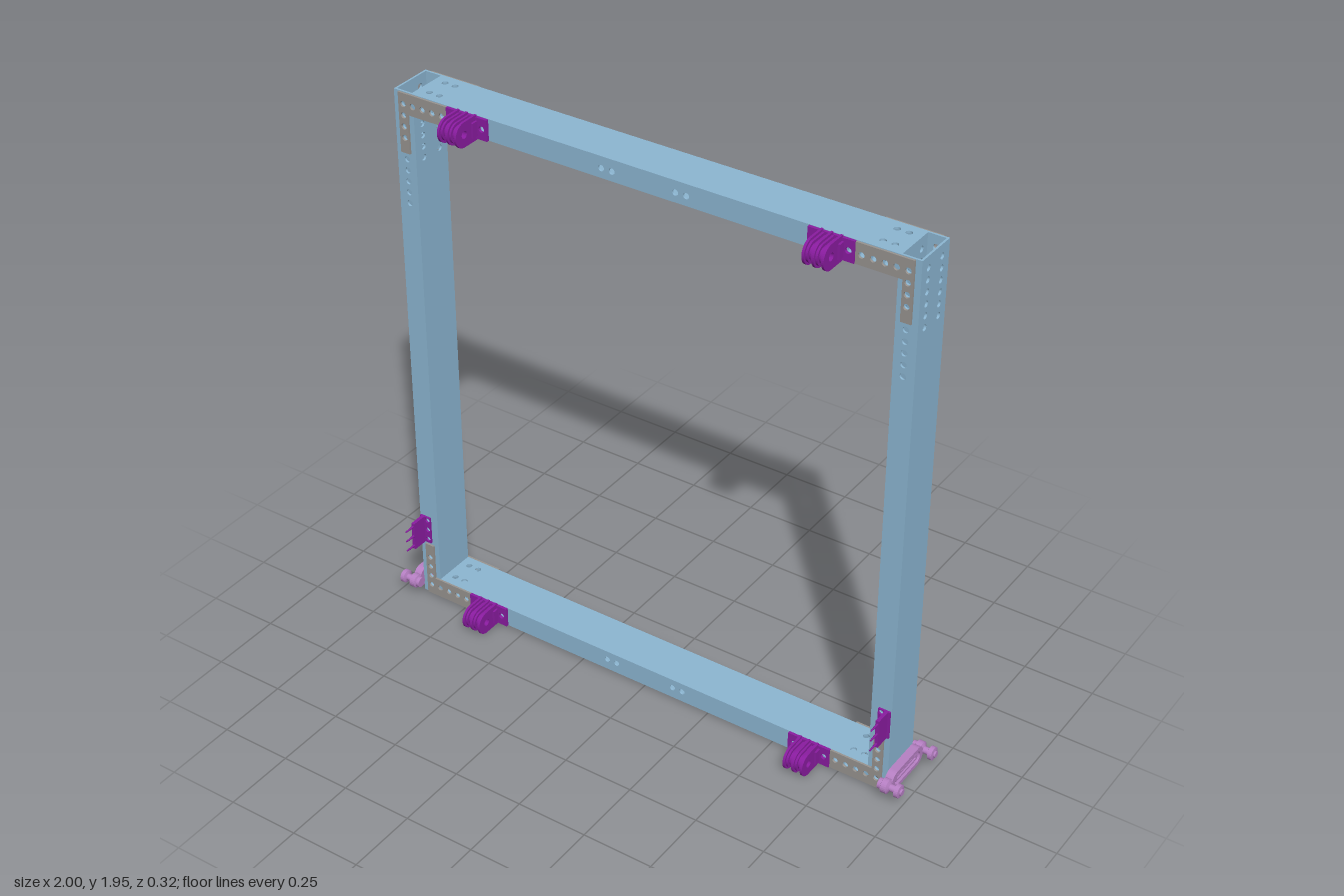
import * as THREE from 'three';

const mat = (color) => new THREE.MeshStandardMaterial({ color });
const blue = mat(0x8cb6d2), grey = mat(0x989490), purple = mat(0x8a1ca0), lilac = mat(0xb780c4);
const WALL = 0.007, FRONT = 0.053, BACK = -0.103, MID = -0.025;
const TOP = 1.95, BOTTOM = 0.01, OUT = 0.928, SIZE = 0.073, IN = OUT - SIZE;
const range = (start, step, n) => Array.from({ length: n }, (_, i) => start + step * i);

function add(parent, name, geometry, material, x = 0, y = 0, z = 0) {
  const m = new THREE.Mesh(geometry, material);
  m.name = name;
  m.position.set(x, y, z);
  parent.add(m);
  return m;
}

function group(parent, name) {
  const g = new THREE.Group();
  g.name = name;
  parent.add(g);
  return g;
}

function punch(shape, holes, r) {
  for (const [x, y] of holes) shape.holes.push(new THREE.Path().absarc(x, y, r, 0, Math.PI * 2, true));
  return shape;
}

function extrude(shape, depth) {
  return new THREE.ExtrudeGeometry(shape, { depth, bevelEnabled: false, curveSegments: 10 });
}

function outline(points) {
  return new THREE.Shape(points.map(([x, y]) => new THREE.Vector2(x, y)));
}

// Sheet wall normal to an axis: z uses (x, y), x uses (-z, y), y uses (x, -z)
function wall(parent, name, axis, at, [u0, u1], [v0, v1], holes) {
  const shape = punch(outline([[u0, v0], [u1, v0], [u1, v1], [u0, v1]]), holes, 0.0105);
  const m = add(parent, name, extrude(shape, WALL), blue);
  if (axis === 'x') m.rotation.y = Math.PI / 2;
  if (axis === 'y') m.rotation.x = -Math.PI / 2;
  m.position[axis] = at;
}

// Upright hollow tube on the +x side
function upright(parent) {
  const g = group(parent, 'uprightTube');
  const face = [...range(1.91, -0.039, 10), ...range(0.05, 0.039, 8)].map((y) => [0.89, y]);
  for (const z of [FRONT - WALL, BACK]) wall(g, 'uprightFace', 'z', z, [IN, OUT], [BOTTOM, TOP], face);
  const side = [...range(1.91, -0.039, 6), 0.05].flatMap((y) => [[-MID - 0.039, y], [-MID + 0.039, y]]);
  for (const x of [IN, OUT - WALL])
    wall(g, 'uprightSide', 'x', x, [-FRONT + WALL, -BACK - WALL], [BOTTOM, TOP], side);
}

// Horizontal hollow tube between the uprights
function rail(parent, name, y0) {
  const g = group(parent, name);
  const mirror = (xs) => xs.flatMap((x) => [x, -x]);
  const face = mirror([...range(0.82, -0.039, 7), 0.15, 0.112]).map((x) => [x, y0 < 1 ? 0.05 : 1.91]);
  for (const z of [FRONT - WALL, BACK]) wall(g, 'railFace', 'z', z, [-IN, IN], [y0, y0 + SIZE], face);
  const flat = mirror([0.82, 0.781]).flatMap((x) => [[x, -MID - 0.039], [x, -MID + 0.039]]);
  for (const y of [y0, y0 + SIZE - WALL])
    wall(g, 'railFlat', 'y', y, [-IN, IN], [-FRONT + WALL, -BACK - WALL], flat);
}

// L-shaped plates on the front and back of an upper corner
function cornerPlates(parent) {
  const shape = outline([[0.908, 1.948], [0.72, 1.948], [0.72, 1.877], [0.873, 1.877], [0.873, 1.74], [0.908, 1.74]]);
  punch(shape, [...range(0.89, -0.0375, 5).map((x) => [x, 1.91]), ...range(1.871, -0.039, 3).map((y) => [0.89, y])], 0.0105);
  const geo = extrude(shape, WALL);
  add(parent, 'frontCornerPlate', geo, grey, 0, 0, FRONT);
  add(parent, 'backCornerPlate', geo, grey, 0, 0, BACK - WALL);
}

// Finned guide: three round lugs with grooves between, on a drilled base
function guide(parent, y) {
  const g = group(parent, 'cableGuide');
  g.position.set(0.642, y, FRONT);
  const base = outline([[-0.077, -0.036], [0.077, -0.036], [0.077, 0.036], [-0.077, 0.036]]);
  add(g, 'guideBase', extrude(punch(base, [[-0.057, 0], [0.057, 0]], 0.0105), 0.01), purple);
  const lug = (r) => {
    const s = new THREE.Shape();
    s.moveTo(0, -r).lineTo(0.062, -r).absarc(0.062, 0, r, -Math.PI / 2, Math.PI / 2, false).lineTo(0, r);
    return punch(s, [[0.062, 0]], 0.013);
  };
  // local x of the lug points along +z
  const place = (name, r, x, w) => {
    const m = add(g, name, extrude(lug(r), w), purple, x + w / 2, 0, 0.004);
    m.rotation.y = -Math.PI / 2;
  };
  for (const x of [-0.032, 0, 0.032]) place('guideFin', 0.042, x, 0.008);
  for (const s of [-1, 1]) {
    place('guideGroove', 0.025, s * 0.016, 0.026);
    place('guideStep', 0.034, s * 0.0245, 0.007);
    place('guideStep', 0.034, s * 0.0075, 0.007);
    add(g, 'guideShoulder', new THREE.BoxGeometry(0.012, 0.05, 0.025), purple, s * 0.037, 0, 0.02);
  }
}

// Angle bracket with three forward pins
function pinBracket(parent) {
  const g = group(parent, 'pinBracket');
  const base = outline([[0.882, 0.23], [0.925, 0.23], [0.925, 0.335], [0.882, 0.335]]);
  add(g, 'pinBase', extrude(punch(base, range(0.245, 0.039, 3).map((y) => [0.893, y]), 0.009), 0.007), purple, 0, 0, FRONT);
  add(g, 'pinWeb', new THREE.BoxGeometry(0.012, 0.105, 0.062), purple, 0.912, 0.2825, FRONT + 0.031);
  for (const y of [0.243, 0.2825, 0.322]) {
    const pin = add(g, 'pin', new THREE.CylinderGeometry(0.0025, 0.005, 0.05, 10), purple, 0.912, y, 0.128);
    pin.rotation.x = Math.PI / 2;
  }
}

// Slotted side bar carrying a spool at each end
function spoolBracket(parent) {
  const g = group(parent, 'spoolBracket');
  g.position.set(OUT, 0.062, MID);
  const capsule = (half, r, hole) => {
    const s = hole ? new THREE.Path() : new THREE.Shape();
    s.absarc(half, 0, r, -Math.PI / 2, Math.PI / 2, false);
    s.absarc(-half, 0, r, Math.PI / 2, Math.PI * 1.5, false);
    s.closePath();
    return s;
  };
  const bar = (name, half, r, slotHalf, slotR, x, t) => {
    const s = capsule(half, r, false);
    if (slotR) s.holes.push(capsule(slotHalf, slotR, true));
    add(g, name, extrude(s, t), lilac, x).rotation.y = Math.PI / 2;
  };
  bar('barPlate', 0.1, 0.02, 0, 0, 0.003, 0.012);
  bar('barRim', 0.065, 0.035, 0.06, 0.021, 0, 0.028);
  bar('barRib', 0.06, 0.012, 0.055, 0.005, 0.01, 0.014);
  const profile = [[0, -0.012], [0.018, -0.012], [0.018, 0], [0.025, 0.003], [0.025, 0.022], [0.012, 0.028],
    [0.012, 0.046], [0.023, 0.05], [0.023, 0.064], [0.011, 0.066], [0.011, 0.072], [0, 0.072]];
  for (const z of [-0.108, 0.108]) {
    const geo = new THREE.LatheGeometry(profile.map(([r, y]) => new THREE.Vector2(r, y)), 24).toNonIndexed();
    geo.computeVertexNormals();
    add(g, 'spool', geo, lilac, 0, 0, z).rotation.z = -Math.PI / 2;
  }
}

export function createModel() {
  const model = new THREE.Group();
  model.name = 'frame';
  rail(model, 'topRail', TOP - SIZE);
  rail(model, 'bottomRail', BOTTOM);
  for (const side of [1, -1]) {
    const half = group(model, side > 0 ? 'leftHalf' : 'rightHalf');
    half.scale.x = side;
    upright(half);
    cornerPlates(group(half, 'topCorner'));
    const lower = group(half, 'bottomCorner');
    lower.scale.y = -1;
    lower.position.y = TOP + BOTTOM;
    cornerPlates(lower);
    for (const y of [0.047, 1.913]) guide(half, y);
    pinBracket(half);
    spoolBracket(half);
  }
  return model;
}
